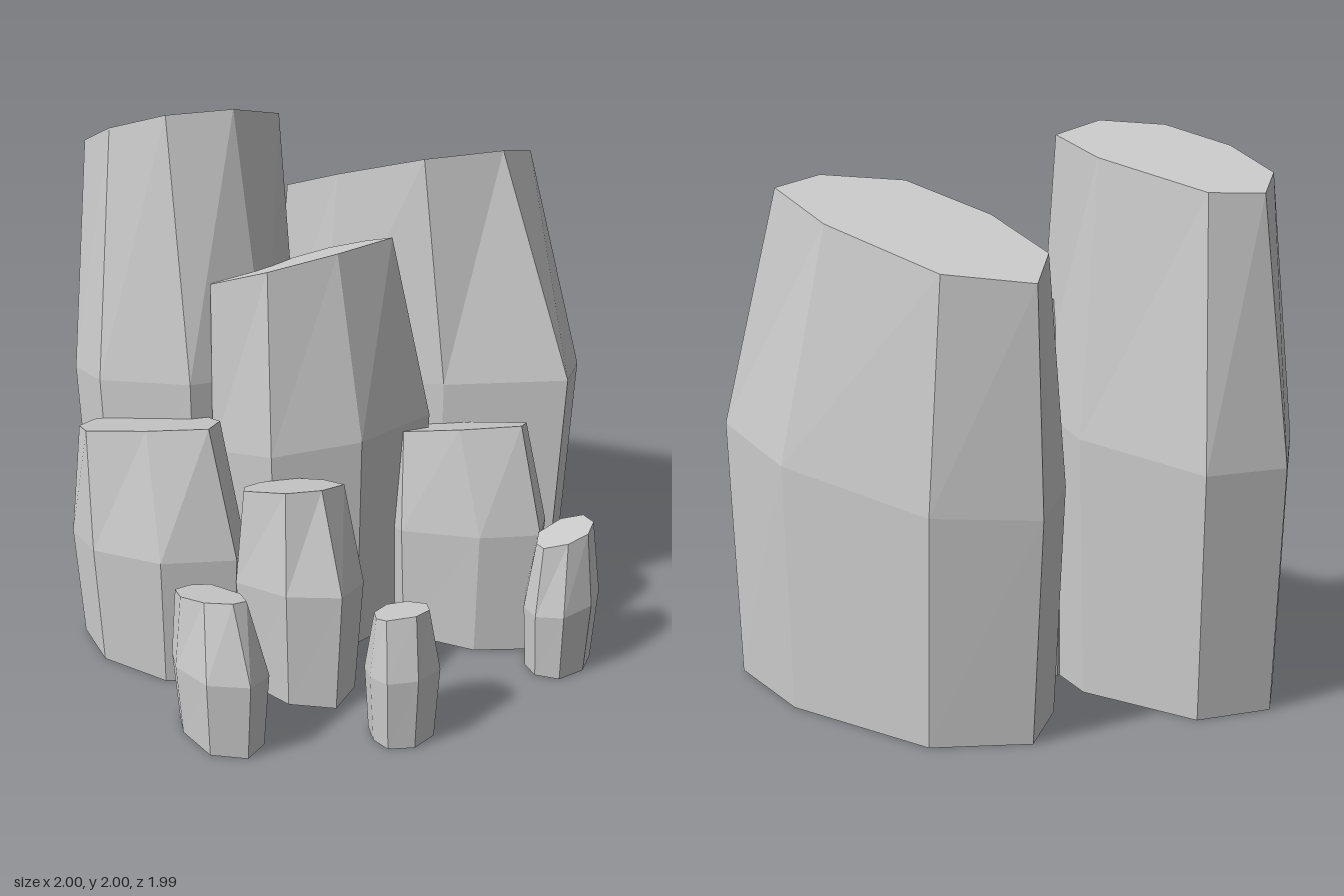
import * as THREE from 'three';

// Regroup a flat list of x, z values into points
function ring(flat) {
  const points = [];
  for (let i = 0; i < flat.length; i += 2) points.push([flat[i], flat[i + 1]]);
  return points;
}

// Area sign tells which way round a ring runs
function signedArea(points) {
  return points.reduce((sum, [x, z], i) => {
    const [nx, nz] = points[(i + 1) % points.length];
    return sum + x * nz - nx * z;
  }, 0);
}

function centre(points) {
  const c = new THREE.Vector3();
  points.forEach((p) => c.add(p));
  return c.divideScalar(points.length);
}

// One faceted column: a slightly narrowed foot, a wide tilted waist and a tilted flat top.
// peak = [x, z, height] is a point on the top plane; tilt = its slopes along x and z.
function columnGeometry({ waist, top, peak, tilt, waistHeight = 0.5, foot = 0.93 }) {
  const w = ring(waist);
  const t = ring(top);
  if (signedArea(w) < 0) { w.reverse(); t.reverse(); }
  const planeY = (x, z) => peak[2] + tilt[0] * (x - peak[0]) + tilt[1] * (z - peak[1]);

  const middle = w.map(([x, z]) => new THREE.Vector3(x, waistHeight * planeY(x, z), z));
  const upper = t.map(([x, z]) => new THREE.Vector3(x, planeY(x, z), z));
  const c = centre(middle).setY(0);
  const lower = middle.map((p) => p.clone().setY(0).lerp(c, 1 - foot));

  const tris = [];
  const n = w.length;
  const topCentre = centre(upper);
  for (let i = 0; i < n; i++) {
    const j = (i + 1) % n;
    for (const [a, b] of [[lower, middle], [middle, upper]]) {
      tris.push(a[j], a[i], b[i], a[j], b[i], b[j]);
    }
    tris.push(topCentre, upper[j], upper[i], c, lower[i], lower[j]);
  }
  const geometry = new THREE.BufferGeometry().setFromPoints(tris);
  geometry.computeVertexNormals();
  return geometry;
}

export function createModel() {
  const group = new THREE.Group();
  group.name = 'rockColumns';
  const stone = new THREE.MeshStandardMaterial({ color: 0xcccccc, flatShading: true });
  stone.name = 'paleStone';

  const add = (name, spec) => {
    const mesh = new THREE.Mesh(columnGeometry(spec), stone);
    mesh.name = name;
    group.add(mesh);
  };

  // Two tall columns at the back
  add('backLeftColumn', {
    waist: [-0.19, -0.70, -0.10, -0.98, 0.26, -1, 0.76, -0.63, 1, -0.25, 0.89, 0.04, 0.43, -0.05, -0.02, -0.37],
    top: [-0.13, -0.69, -0.08, -0.94, 0.22, -0.94, 0.60, -0.63, 0.79, -0.35, 0.65, -0.18, 0.35, -0.15, 0.05, -0.40],
    peak: [0.65, -0.18, 1.81], tilt: [0.1, 0.31], waistHeight: 0.51, foot: 0.94,
  });
  add('backRightColumn', {
    waist: [-1, -0.43, -0.925, -0.72, -0.64, -0.81, -0.25, -0.53, -0.12, -0.235, -0.25, 0.02, -0.535, 0.11, -0.88, -0.11],
    top: [-0.91, -0.435, -0.845, -0.62, -0.65, -0.655, -0.31, -0.43, -0.18, -0.25, -0.35, -0.07, -0.59, -0.06, -0.80, -0.215],
    peak: [-0.35, -0.07, 2], tilt: [0.08, 0.36],
  });

  // Middle tier
  add('centreColumn', {
    waist: [0.36, 0.06, 0.08, 0.29, -0.25, 0.31, -0.46, 0.10, -0.45, -0.12, -0.20, -0.38, -0.02, -0.42, 0.24, -0.18],
    top: [0.21, 0.05, 0, 0.19, -0.25, 0.22, -0.45, 0.06, -0.42, -0.10, -0.18, -0.28, 0.015, -0.36, 0.14, -0.19],
    peak: [0.21, 0.05, 1.55], tilt: [0.24, 0.25], waistHeight: 0.54,
  });
  add('rightMiddleColumn', {
    waist: [-0.385, 0.495, -0.655, 0.49, -0.905, 0.305, -1, 0.07, -0.93, -0.13, -0.70, -0.20, -0.45, -0.05, -0.355, 0.24],
    top: [-0.47, 0.42, -0.69, 0.36, -0.91, 0.24, -0.95, 0.07, -0.91, -0.10, -0.70, -0.15, -0.50, 0, -0.43, 0.22],
    peak: [-0.47, 0.42, 0.98], tilt: [0.04, 0.28],
  });
  add('leftMiddleColumn', {
    waist: [0.735, 0.38, 0.51, 0.37, 0.24, 0.22, 0.18, 0.02, 0.25, -0.12, 0.50, -0.10, 0.62, 0, 0.80, 0.175],
    top: [0.66, 0.31, 0.44, 0.27, 0.25, 0.155, 0.22, 0.02, 0.30, -0.08, 0.45, -0.08, 0.60, 0.04, 0.705, 0.19],
    peak: [0.66, 0.31, 0.905], tilt: [0.05, 0.34], waistHeight: 0.53,
  });
  add('frontMiddleColumn', {
    waist: [-0.39, 0.50, -0.22, 0.68, -0.03, 0.725, 0.06, 0.575, -0.01, 0.38, -0.13, 0.27, -0.31, 0.30, -0.38, 0.40],
    top: [-0.355, 0.49, -0.215, 0.615, -0.09, 0.61, -0.005, 0.52, -0.065, 0.38, -0.15, 0.30, -0.29, 0.32, -0.35, 0.40],
    peak: [-0.09, 0.61, 0.82], tilt: [0.05, 0.3], waistHeight: 0.54, foot: 0.88,
  });

  // Small stones in front
  add('frontRightStone', {
    waist: [-0.62, 0.68, -0.57, 0.595, -0.47, 0.61, -0.33, 0.775, -0.29, 0.90, -0.355, 0.99, -0.50, 0.955, -0.605, 0.795],
    top: [-0.60, 0.69, -0.55, 0.645, -0.48, 0.65, -0.38, 0.79, -0.36, 0.885, -0.405, 0.91, -0.50, 0.875, -0.58, 0.785],
    peak: [-0.405, 0.91, 0.565], tilt: [0.02, 0.25], foot: 0.88,
  });
  add('frontLeftStone', {
    waist: [0.04, 0.81, 0.105, 0.725, 0.21, 0.725, 0.29, 0.80, 0.29, 0.89, 0.205, 0.965, 0.10, 0.965, 0.05, 0.90],
    top: [0.07, 0.82, 0.12, 0.76, 0.19, 0.76, 0.25, 0.81, 0.25, 0.875, 0.20, 0.92, 0.10, 0.92, 0.07, 0.885],
    peak: [0.20, 0.92, 0.495], tilt: [0.12, 0.2], waistHeight: 0.54, foot: 0.88,
  });
  add('outerLeftStone', {
    waist: [0.665, 0.47, 0.70, 0.35, 0.82, 0.275, 0.925, 0.305, 0.955, 0.43, 0.90, 0.535, 0.785, 0.595, 0.69, 0.555],
    top: [0.70, 0.47, 0.725, 0.39, 0.82, 0.33, 0.90, 0.345, 0.92, 0.42, 0.88, 0.50, 0.80, 0.535, 0.715, 0.52],
    peak: [0.88, 0.50, 0.555], tilt: [0.25, 0.03], foot: 0.88,
  });

  return group;
}
